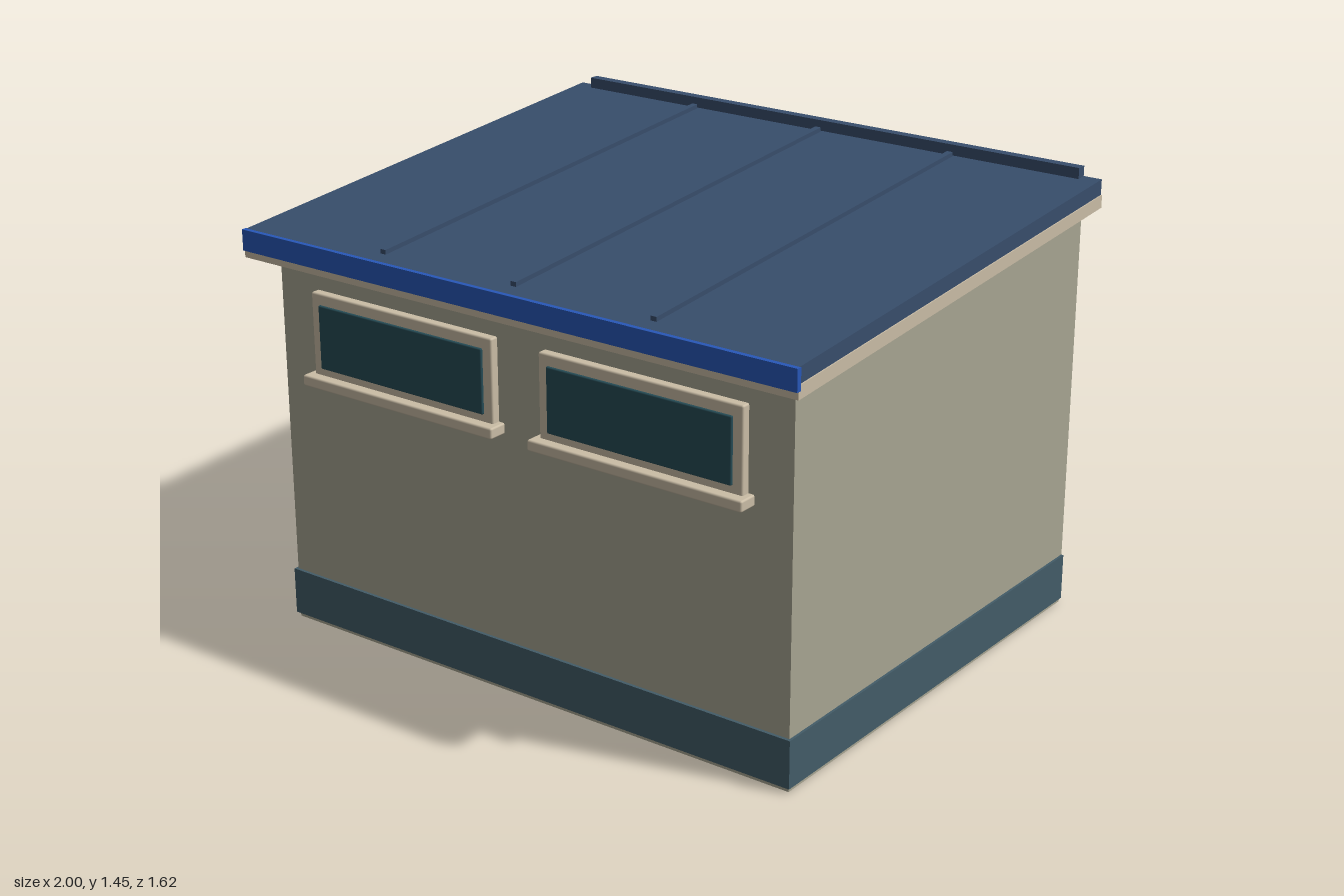
import * as THREE from 'three';
import { RoundedBoxGeometry } from 'three/addons/geometries/RoundedBoxGeometry.js';

const SLOPE = 0.078; // the roof rises towards the back
const FRONT = 0.72, BACK = -0.81;

const material = (color) => new THREE.MeshStandardMaterial({ color });

// Box between two corners; a radius above 0 softens the edges
function block(name, mat, [x0, x1], [y0, y1], [z0, z1], radius = 0) {
  const size = [x1 - x0, y1 - y0, z1 - z0];
  const geometry = radius ? new RoundedBoxGeometry(...size, 2, radius) : new THREE.BoxGeometry(...size);
  geometry.translate((x0 + x1) / 2, (y0 + y1) / 2, (z0 + z1) / 2);
  const mesh = new THREE.Mesh(geometry, mat);
  mesh.name = name;
  return mesh;
}

// Shear the vertices above minY so they follow the roof pitch (heights are given at z = 0)
function pitch(mesh, minY = 0) {
  const p = mesh.geometry.attributes.position;
  for (let i = 0; i < p.count; i++) {
    if (p.getY(i) > minY) p.setY(i, p.getY(i) - SLOPE * p.getZ(i));
  }
  mesh.geometry.computeVertexNormals();
  return mesh;
}

export function createModel() {
  const model = new THREE.Group();
  model.name = 'shed';
  const wall = material(0xa8a592), trim = material(0xcabda6), plinth = material(0x435c68);
  const roof = material(0x384e6c), fascia = material(0x2858b8), glass = material(0x264c56);

  // Walls and the base band on the front and sides
  model.add(pitch(block('walls', wall, [-0.935, 0.935], [0, 1.28], [BACK, FRONT]), 0.5));
  model.add(block('plinth', plinth, [-0.943, 0.943], [0.015, 0.165], [-0.808, 0.73]));

  // Pitched roof
  model.add(pitch(block('roofTrim', trim, [-1, 1], [1.262, 1.302], [BACK, 0.803])));
  model.add(pitch(block('roofPanel', roof, [-0.996, 0.996], [1.302, 1.35], [BACK, 0.797])));
  for (const x of [-0.49, 0, 0.49]) {
    model.add(pitch(block('roofSeam', roof, [x - 0.01, x + 0.01], [1.335, 1.364], [-0.77, 0.745])));
  }
  model.add(block('ridgeCap', roof, [-0.935, 0.935], [1.378, 1.445], [BACK, -0.778]));
  model.add(block('frontFascia', fascia, [-1, 1], [1.222, 1.288], [0.793, 0.81]));

  // Two front windows
  for (const x of [-0.437, 0.437]) {
    const unit = new THREE.Group();
    unit.name = 'window';
    unit.position.x = x;
    unit.add(block('windowFrame', trim, [-0.351, 0.351], [0.845, 1.118], [FRONT - 0.01, 0.747], 0.006));
    unit.add(block('windowPane', glass, [-0.318, 0.318], [0.883, 1.083], [0.735, 0.755], 0.004));
    unit.add(block('windowSill', trim, [-0.371, 0.371], [0.826, 0.86], [FRONT - 0.01, 0.78], 0.006));
    model.add(unit);
  }
  return model;
}
